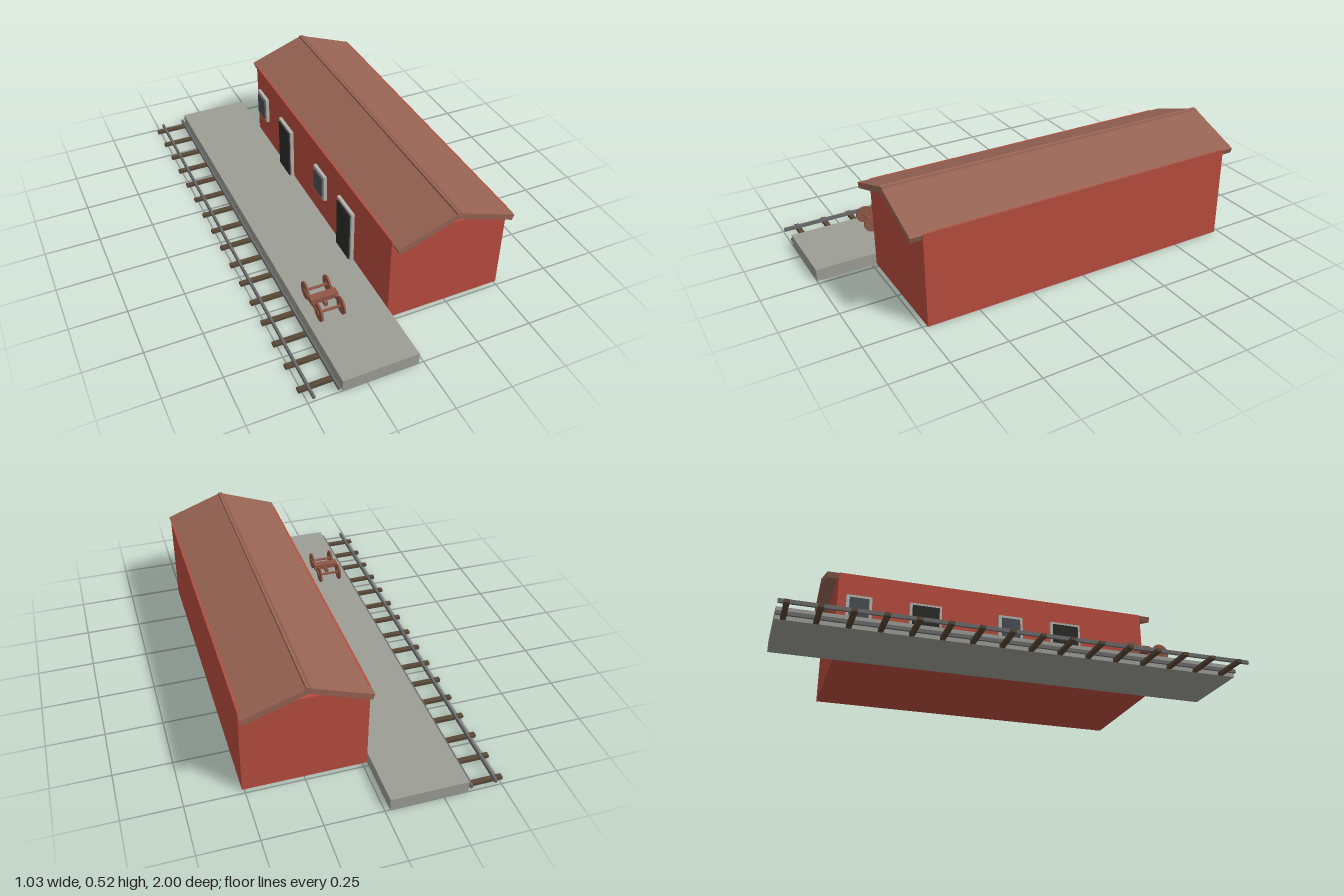
import * as THREE from 'three';

const mat = (name, color) => {
  const m = new THREE.MeshStandardMaterial({ color });
  m.name = name;
  return m;
};

export function createModel() {
  const brick = mat('red wall', 0xb84c3e);
  const roofing = mat('brown roof', 0x966353);
  const concrete = mat('platform grey', 0x9c9d94);
  const wood = mat('sleeper brown', 0x574836);
  const steel = mat('rail grey', 0x6a6a6c);
  const trim = mat('pale trim', 0xb4b2ac);
  const doorDark = mat('door black', 0x2b2a28);
  const glass = mat('window slate', 0x484e54);
  const rust = mat('rust brown', 0x8f5646);

  const model = new THREE.Group();
  model.name = 'stationHouse';

  const add = (parent, name, geometry, material) => {
    const m = new THREE.Mesh(geometry, material);
    m.name = name;
    parent.add(m);
    return m;
  };
  // Box given by its limits on each axis
  const box = (parent, name, material, x0, x1, y0, y1, z0, z1) => {
    const m = add(parent, name, new THREE.BoxGeometry(x1 - x0, y1 - y0, z1 - z0), material);
    m.position.set((x0 + x1) / 2, (y0 + y1) / 2, (z0 + z1) / 2);
    return m;
  };
  // Cylinder lying along x
  const axial = (parent, name, material, r, length, x, y, z, sides = 24) => {
    const m = add(parent, name, new THREE.CylinderGeometry(r, r, length, sides), material);
    m.rotation.z = Math.PI / 2;
    m.position.set(x, y, z);
    return m;
  };

  // Building and platform
  box(model, 'building', brick, -0.021, 0.51, 0, 0.42, -0.73, 0.73);
  box(model, 'platform', concrete, -0.355, -0.021, 0, 0.055, -1, 1);

  // Two tilted roof slabs that cross slightly at the ridge
  const ridgeX = 0.245, eave = 0.266, eaveY = 0.417, tilt = 0.349, thick = 0.026;
  const slabLength = (eave + 0.009) / Math.cos(tilt);
  for (const s of [-1, 1]) {
    const slab = add(model, s < 0 ? 'roofRight' : 'roofLeft',
      new THREE.BoxGeometry(slabLength, thick, 1.565), roofing);
    const c = Math.cos(tilt), n = Math.sin(tilt);
    slab.rotation.z = -s * tilt;
    slab.position.set(
      ridgeX + s * (eave - c * slabLength / 2 - n * thick / 2),
      eaveY + n * slabLength / 2 - c * thick / 2, 0);
  }

  // Doors and windows on the platform side: pale surround with a panel on it
  const opening = (name, panelMat, z, w, y0, y1, border, sill) => {
    const g = new THREE.Group();
    g.name = name;
    model.add(g);
    box(g, name + 'Frame', trim, -0.036, -0.021, y0, y1, z - w / 2, z + w / 2);
    box(g, name + 'Panel', panelMat, -0.042, -0.036, y0 + sill, y1 - border,
      z - w / 2 + border, z + w / 2 - border);
  };
  for (const z of [-0.335, 0.332]) opening('door', doorDark, z, 0.147, 0.055, 0.312, 0.012, 0);
  for (const z of [-0.635, 0.065]) opening('window', glass, z, 0.114, 0.18, 0.311, 0.014, 0.014);

  // Track
  const track = new THREE.Group();
  track.name = 'track';
  model.add(track);
  for (let i = 0; i < 16; i++) {
    const z = -0.968 + i * 0.1267;
    box(track, 'sleeper', wood, -0.515, -0.355, 0, 0.014, z - 0.011, z + 0.011);
  }
  for (const x of [-0.475, -0.369]) box(track, 'rail', steel, x - 0.005, x + 0.005, 0.014, 0.03, -1, 1);

  // Wheel truck standing on the platform
  const truck = new THREE.Group();
  truck.name = 'wheelTruck';
  truck.position.set(-0.256, 0.055, 0.6);
  model.add(truck);
  for (const z of [-0.069, 0.069]) {
    axial(truck, 'axle', rust, 0.006, 0.116, 0, 0.039, z, 12);
    for (const s of [-1, 1]) {
      axial(truck, 'wheel', rust, 0.039, 0.008, s * 0.05, 0.039, z);
      axial(truck, 'hub', rust, 0.011, 0.016, s * 0.05, 0.039, z, 12);
    }
  }
  for (const s of [-1, 1]) box(truck, 'sideFrame', rust, s * 0.052 - 0.006, s * 0.052 + 0.006, 0.034, 0.05, -0.069, 0.069);
  box(truck, 'bolster', rust, -0.061, 0.061, 0.036, 0.06, -0.018, 0.018);
  box(truck, 'centreBlock', rust, -0.008, 0.008, 0.022, 0.04, -0.033, 0.033);

  return model;
}
